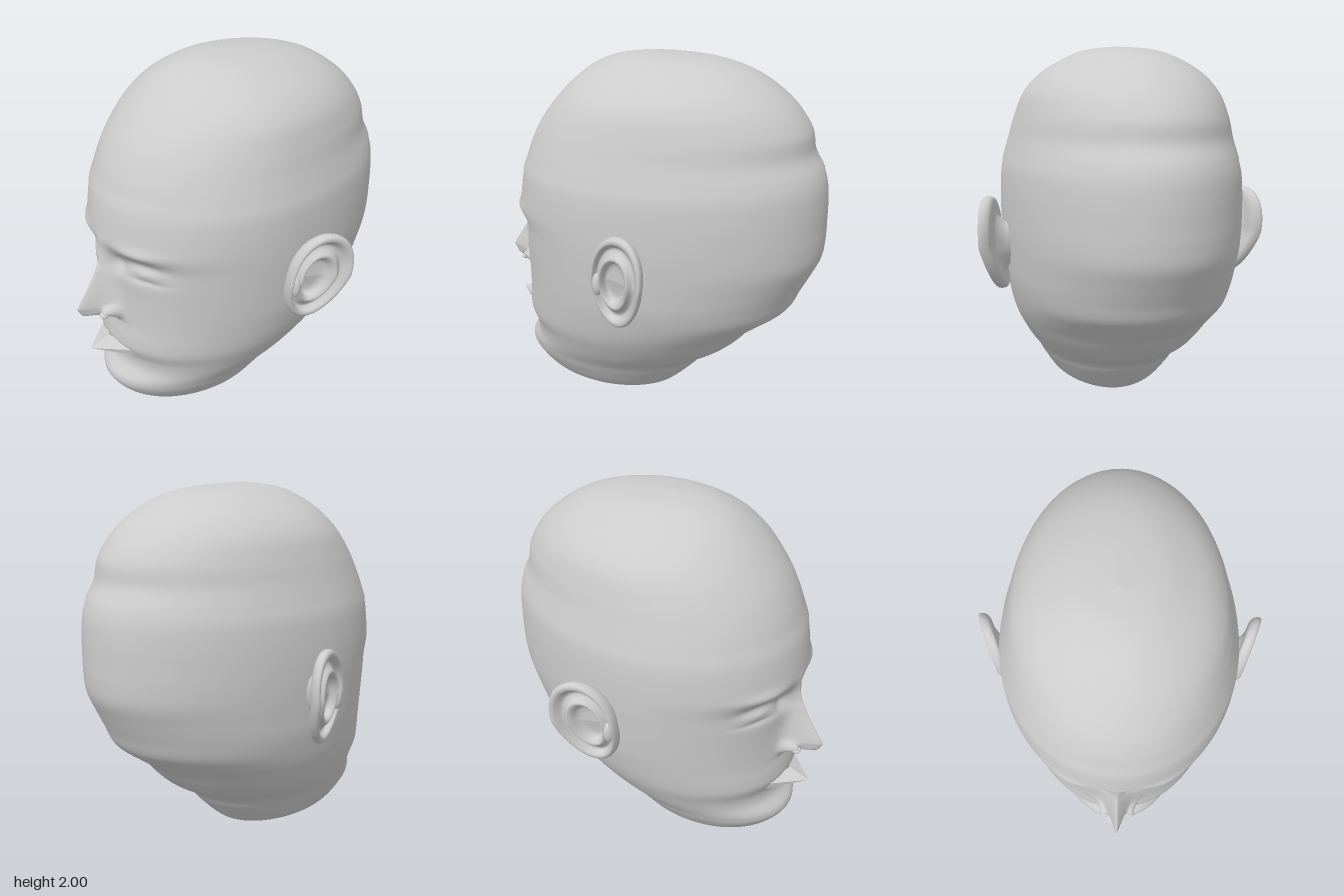
import * as THREE from 'three';

const skin = new THREE.MeshStandardMaterial({ color: 0xcccccc });
skin.name = 'skin grey';

// Head cross-sections: y, half width, front z, back z, z of the widest point
const SECTIONS = [
  [0.005, 0, 0.15, 0.15, 0.15], [0.02, 0.13, 0.36, 0, 0.18], [0.05, 0.23, 0.54, -0.1, 0.22],
  [0.1, 0.31, 0.69, -0.17, 0.24], [0.2, 0.38, 0.785, -0.27, 0.24], [0.27, 0.42, 0.8, -0.33, 0.22],
  [0.35, 0.475, 0.75, -0.46, 0.18], [0.42, 0.515, 0.745, -0.54, 0.14], [0.5, 0.555, 0.775, -0.61, 0.1],
  [0.57, 0.58, 0.775, -0.7, 0.07], [0.65, 0.6, 0.765, -0.8, 0.05], [0.75, 0.62, 0.76, -0.85, 0.03],
  [0.85, 0.63, 0.76, -0.9, 0.03], [0.95, 0.637, 0.765, -0.945, 0.03], [1.05, 0.643, 0.77, -0.957, 0.03],
  [1.15, 0.645, 0.79, -0.957, 0.03], [1.25, 0.643, 0.78, -0.955, 0.03], [1.35, 0.635, 0.76, -0.945, 0.03],
  [1.43, 0.615, 0.73, -0.92, 0.03], [1.52, 0.59, 0.695, -0.87, 0.02], [1.63, 0.56, 0.635, -0.845, 0],
  [1.75, 0.515, 0.54, -0.76, -0.02], [1.85, 0.43, 0.44, -0.64, -0.04], [1.93, 0.3, 0.33, -0.49, -0.05],
  [1.977, 0.18, 0.2, -0.29, -0.03], [2, 0, 0.02, 0.02, 0.02],
];
const LAST = SECTIONS.length - 1;
const spline = (f) => new THREE.CatmullRomCurve3(SECTIONS.map(f), false, 'catmullrom', 0.5);
const frontCurve = spline(([y, w, zf]) => new THREE.Vector3(w, y, zf));
const backCurve = spline(([y, , , zb, zc]) => new THREE.Vector3(zb, y, zc));

// Nose ridge: y, height above the face, half width
const NOSE = [
  [0.66, 0, 0.06], [0.685, 0.07, 0.06], [0.71, 0.17, 0.055], [0.76, 0.2, 0.055], [0.79, 0.185, 0.055],
  [0.84, 0.15, 0.052], [0.92, 0.095, 0.045], [1.0, 0.05, 0.038], [1.1, 0.015, 0.045], [1.18, 0, 0.05],
];
function noseHeight(x, y) {
  const k = NOSE.findIndex((p) => p[0] > y);
  if (k < 1) return 0;
  const [a, b] = [NOSE[k - 1], NOSE[k]];
  const f = (y - a[0]) / (b[0] - a[0]);
  const h = THREE.MathUtils.lerp(a[1], b[1], f);
  return h * Math.exp(-Math.pow(Math.abs(x) / THREE.MathUtils.lerp(a[2], b[2], f), 1.4));
}

// Soft mounds and hollows of the face: x, y, spread x, spread y, height
const FEATURES = [
  [0.27, 1.14, 0.13, 0.035, 0.02], // brow
  [0.25, 1.04, 0.13, 0.055, -0.045], // eye socket
  [0.1, 1.03, 0.045, 0.05, -0.025], // inner corner
  [0.27, 1.025, 0.09, 0.033, 0.036], // closed lid
  [0.27, 0.975, 0.1, 0.012, -0.008], // crease under the lid
  [0.085, 0.73, 0.028, 0.032, 0.07], // nostril wing
  [0.066, 0.705, 0.018, 0.016, -0.05], // nostril hollow
];
function faceRelief(x, y) {
  let d = noseHeight(x, y);
  for (const [cx, cy, sx, sy, h] of FEATURES) {
    d += h * Math.exp(-(((Math.abs(x) - cx) / sx) ** 2) - ((y - cy) / sy) ** 2);
  }
  return d;
}

function headPoint(t, a, swell) {
  const f = frontCurve.getPoint(t);
  const b = backCurve.getPoint(t);
  const c = Math.cos(a);
  const x = Math.sin(a) * (Math.max(f.x, 0) + swell);
  const reach = c > 0 ? f.z - b.z : b.z - b.x;
  let z = b.z + c * (reach + swell);
  if (c > 0) z += faceRelief(x, f.y) * Math.min(1, c * 3);
  return [x, f.y, z];
}

// Closed rings of the head between two limits; columns crowd towards the face
function loft(startAt, endAt, rows, cols, swell) {
  const pos = [];
  const index = [];
  for (let i = 0; i <= rows; i++) {
    for (let j = 0; j < cols; j++) {
      const u = (j / cols) * 2 * Math.PI - Math.PI;
      const a = u - 0.72 * Math.sin(u);
      const t = THREE.MathUtils.lerp(startAt(a), endAt(a), i / rows);
      pos.push(...headPoint(t, a, swell));
      if (i === rows) continue;
      const p = i * cols + j;
      const q = i * cols + ((j + 1) % cols);
      index.push(p, q, q + cols, p, q + cols, p + cols);
    }
  }
  const g = new THREE.BufferGeometry();
  g.setAttribute('position', new THREE.Float32BufferAttribute(pos, 3));
  g.setIndex(index);
  g.computeVertexNormals();
  return g;
}

// Ear: a lathed dish with rolled rim, stretched to an egg and swept outwards
function earGeometry(side) {
  const outline = [
    [0, -0.15], [0.36, -0.14], [0.45, -0.09], [0.62, -0.05], [0.88, -0.045], [0.98, -0.03], [1, 0],
    [0.95, 0.018], [0.86, 0.015], [0.76, -0.018], [0.66, -0.012], [0.56, 0.012], [0.47, 0],
    [0.36, -0.04], [0, -0.045],
  ].map(([r, h]) => new THREE.Vector2(r, h));
  const profile = new THREE.SplineCurve(outline).getPoints(56);
  profile.forEach((p) => { p.x = Math.max(p.x, 0); });
  const g = new THREE.LatheGeometry(profile, 64);
  const p = g.attributes.position;
  for (let i = 0; i < p.count; i++) {
    const up = p.getZ(i);
    const across = p.getX(i);
    const r = Math.min(1, Math.hypot(up, across));
    const y = 0.95 + 0.26 * up;
    const z = -0.07 + 0.16 * across * (1 + 0.12 * up) - 0.12 * (y - 0.95) + 0.03 * (1 - r);
    const x = 0.685 + 0.36 * (0.08 - z) + p.getY(i) + 0.06 * Math.min(0, up);
    p.setXYZ(i, side * x, y, z);
  }
  if (side < 0) {
    const ix = g.index.array;
    for (let i = 0; i < ix.length; i += 3) [ix[i], ix[i + 1]] = [ix[i + 1], ix[i]];
  }
  g.computeVertexNormals();
  return g;
}

// Lips: a faceted wedge running out to a point
function lipGeometry() {
  const tip = [0, 0.48, 0.907];
  const rim = [
    [-0.19, 0.495, 0.71], [-0.18, 0.45, 0.71], [0, 0.44, 0.77], [0.18, 0.45, 0.71],
    [0.19, 0.495, 0.71], [0, 0.52, 0.79],
  ];
  const pos = rim.flatMap((p, i) => [...p, ...rim[(i + 1) % rim.length], ...tip]);
  const g = new THREE.BufferGeometry();
  g.setAttribute('position', new THREE.Float32BufferAttribute(pos, 3));
  g.computeVertexNormals();
  return g;
}

export function createModel() {
  const group = new THREE.Group();
  group.name = 'head';
  const add = (name, geometry) => {
    const mesh = new THREE.Mesh(geometry, skin);
    mesh.name = name;
    group.add(mesh);
    return mesh;
  };

  // The seam rises a little towards the back
  const seam = (a) => (17 + (1 - Math.cos(a)) / 2) / LAST;
  add('face', loft(() => 0, (a) => seam(a) + 0.01, 210, 180, 0));
  add('skullCap', loft(seam, () => 1, 70, 120, 0.004));
  add('lips', lipGeometry());

  for (const side of [1, -1]) {
    const label = side > 0 ? 'left' : 'right';
    add(label + 'Ear', earGeometry(side));
    const tragus = add(label + 'Tragus', new THREE.SphereGeometry(1, 20, 14));
    tragus.scale.set(0.03, 0.06, 0.028);
    tragus.position.set(side * 0.685, 0.92, 0.05);
    const nostril = add(label + 'Nostril', new THREE.SphereGeometry(1, 16, 10));
    nostril.scale.set(0.028, 0.014, 0.025);
    nostril.position.set(side * 0.07, 0.72, 0.84);
  }
  return group;
}
